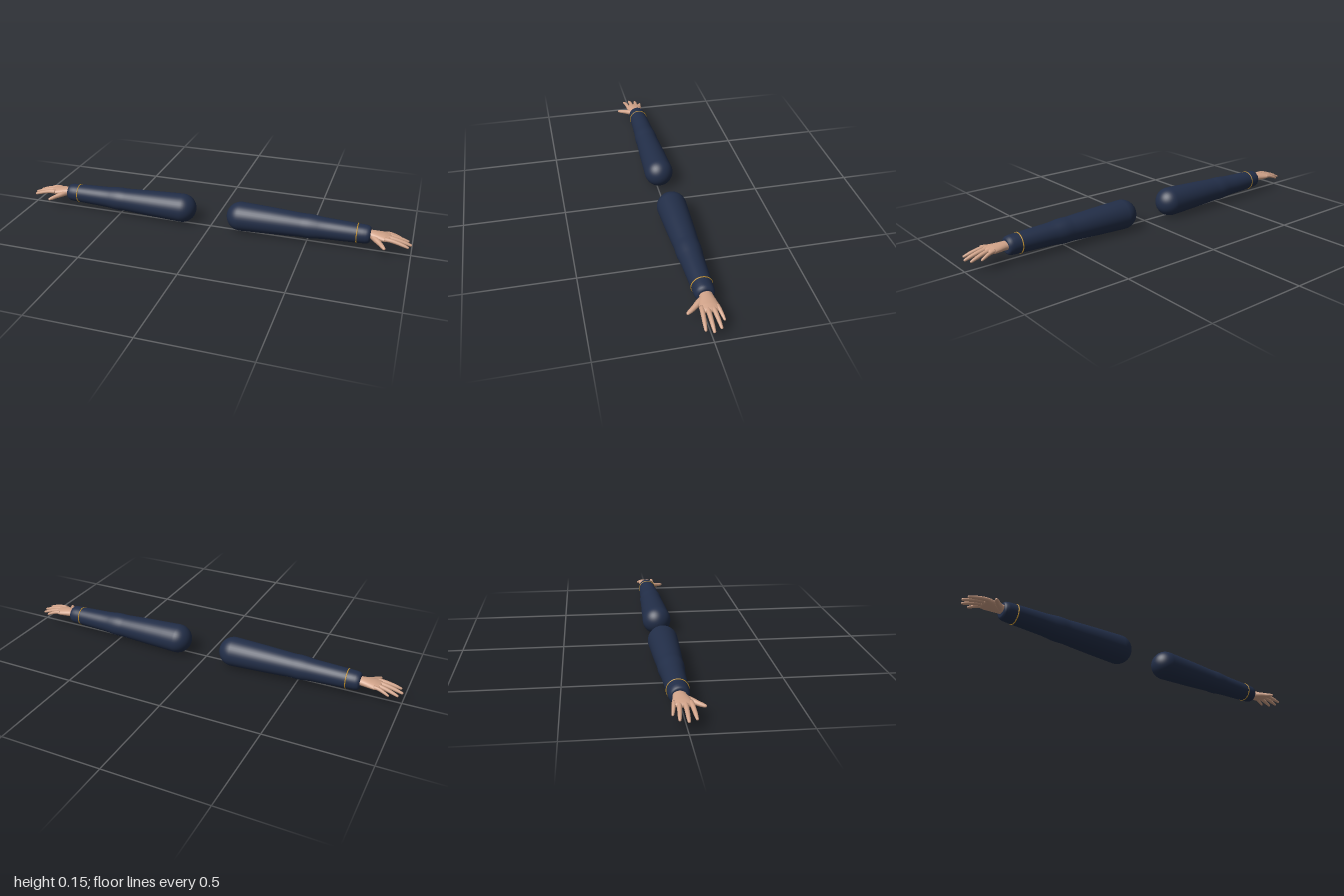
import * as THREE from 'three';

const AXIS_Y = 0.074, AXIS_Z = -0.013; // centre line of the sleeves

// Closed limb from rows of [x, y, z, halfWidth, halfHeight] along a smooth path
function limb(rows, sides = 16, steps = 5) {
  const path = new THREE.CatmullRomCurve3(rows.map((r) => new THREE.Vector3(r[0], r[1], r[2])));
  const up = new THREE.Vector3(0, 1, 0);
  const n = (rows.length - 1) * steps;
  const pos = [], idx = [];
  const push = (v) => pos.push(v.x, v.y, v.z);
  const ring = (c, t, w, h) => {
    const s = t.clone().cross(up).normalize();
    const u = s.clone().cross(t);
    for (let j = 0; j < sides; j++) {
      const a = (j / sides) * Math.PI * 2;
      push(c.clone().addScaledVector(s, Math.cos(a) * w).addScaledVector(u, Math.sin(a) * h));
    }
  };
  for (let i = 0; i <= n; i++) {
    const k = Math.min(Math.floor(i / steps), rows.length - 2), f = i / steps - k;
    const w = THREE.MathUtils.lerp(rows[k][3], rows[k + 1][3], f);
    const h = THREE.MathUtils.lerp(rows[k][4], rows[k + 1][4], f);
    ring(path.getPoint(i / n), path.getTangent(i / n), w, h);
  }
  // Rounded tip
  const last = rows[rows.length - 1], end = path.getPoint(1), dir = path.getTangent(1);
  for (const a of [0.5, 0.95, 1.3]) {
    const c = end.clone().addScaledVector(dir, Math.sin(a) * last[4]);
    ring(c, dir, last[3] * Math.cos(a), last[4] * Math.cos(a));
  }
  const rings = n + 4;
  for (let i = 0; i < rings - 1; i++) {
    for (let j = 0; j < sides; j++) {
      const k = (j + 1) % sides, a = i * sides, b = a + sides;
      idx.push(a + j, b + j, a + k, a + k, b + j, b + k);
    }
  }
  const tip = rings * sides;
  push(end.clone().addScaledVector(dir, last[4]));
  push(path.getPoint(0));
  for (let j = 0; j < sides; j++) {
    const k = (j + 1) % sides;
    idx.push(tip, tip - sides + k, tip - sides + j, tip + 1, j, k);
  }
  const g = new THREE.BufferGeometry();
  g.setAttribute('position', new THREE.Float32BufferAttribute(pos, 3));
  g.setIndex(idx);
  g.computeVertexNormals();
  return g;
}

// Copy of a geometry reflected across x = 0
function mirrored(geometry) {
  const g = geometry.clone();
  for (const name of ['position', 'normal']) {
    const a = g.attributes[name];
    for (let i = 0; i < a.count; i++) a.setX(i, -a.getX(i));
  }
  const id = g.index;
  for (let i = 0; i < id.count; i += 3) {
    const t = id.getX(i);
    id.setX(i, id.getX(i + 1));
    id.setX(i + 1, t);
  }
  return g;
}

// Sleeve turned around the x axis: rounded shoulder, elbow swell, closed cuff
function sleeveGeometry() {
  const profile = [];
  for (let i = 0; i <= 12; i++) {
    const a = (i / 12) * Math.PI / 2;
    profile.push([0.0735 * Math.sin(a), 0.158 - 0.0735 * Math.cos(a)]);
  }
  profile.push(
    [0.071, 0.22], [0.067, 0.32], [0.0625, 0.41], [0.0595, 0.46], [0.0595, 0.48], [0.0605, 0.5],
    [0.0595, 0.525], [0.0565, 0.55], [0.054, 0.575], [0.0525, 0.61], [0.05, 0.68], [0.0475, 0.74],
    [0.0465, 0.765], [0.0455, 0.782], [0.0425, 0.795], [0.037, 0.802], [0.03, 0.804], [0, 0.804]
  );
  const g = new THREE.LatheGeometry(profile.map(([r, x]) => new THREE.Vector2(r, x)), 40);
  return g.rotateZ(-Math.PI / 2).translate(0, AXIS_Y, AXIS_Z);
}

export function createModel() {
  const model = new THREE.Group();
  model.name = 'sleevedArms';
  const material = (name, color) => {
    const m = new THREE.MeshStandardMaterial({ color });
    m.name = name;
    return m;
  };
  const navy = material('navy cloth', 0x222e48);
  const gold = material('gold trim', 0xc4922e);
  const skin = material('skin', 0xd0a288);

  const band = new THREE.TorusGeometry(0.0475, 0.0026, 8, 48)
    .rotateY(Math.PI / 2).translate(0.74, AXIS_Y, AXIS_Z);

  // Palm widens from the wrist to the knuckles
  const palm = limb([
    [0.77, 0.078, -0.013, 0.029, 0.021],
    [0.81, 0.078, -0.013, 0.029, 0.02],
    [0.84, 0.077, -0.011, 0.037, 0.019],
    [0.87, 0.076, -0.01, 0.044, 0.017],
    [0.89, 0.076, -0.01, 0.044, 0.013],
  ], 24);

  const parts = [['sleeve', sleeveGeometry(), navy], ['cuffBand', band, gold], ['palm', palm, skin]];

  // Fingers: name, base z, tip z, tip x, tip y, thickness
  const fingers = [
    ['indexFinger', 0.023, 0.033, 0.982, 0.058, 0.0105],
    ['middleFinger', 0.0, 0.0, 0.994, 0.055, 0.011],
    ['ringFinger', -0.023, -0.034, 0.98, 0.056, 0.0105],
    ['littleFinger', -0.043, -0.057, 0.942, 0.06, 0.009],
  ];
  for (const [name, z0, z1, x1, y1, r] of fingers) {
    const x0 = 0.872, y0 = 0.079;
    const at = (f, drop, k) => [
      x0 + (x1 - x0) * f, y0 + (y1 - y0) * drop, z0 + (z1 - z0) * f, r * k, r * k * 0.95];
    parts.push([name, limb([
      at(0, 0, 1.05), at(0.25, 0.05, 1), at(0.5, 0.27, 0.92), at(0.78, 0.65, 0.82), at(1, 1, 0.6),
    ], 14), skin]);
  }

  // Thumb points forward and out
  parts.push(['thumb', limb([
    [0.815, 0.073, 0.0, 0.015, 0.015],
    [0.838, 0.069, 0.029, 0.0145, 0.0135],
    [0.856, 0.065, 0.051, 0.0115, 0.011],
    [0.868, 0.062, 0.068, 0.0105, 0.0095],
    [0.877, 0.06, 0.081, 0.0075, 0.007],
  ], 14), skin]);

  for (const side of ['left', 'right']) {
    const arm = new THREE.Group();
    arm.name = side + 'Arm';
    for (const [name, geometry, mat] of parts) {
      const mesh = new THREE.Mesh(side === 'left' ? geometry : mirrored(geometry), mat);
      mesh.name = name;
      arm.add(mesh);
    }
    model.add(arm);
  }
  return model;
}
